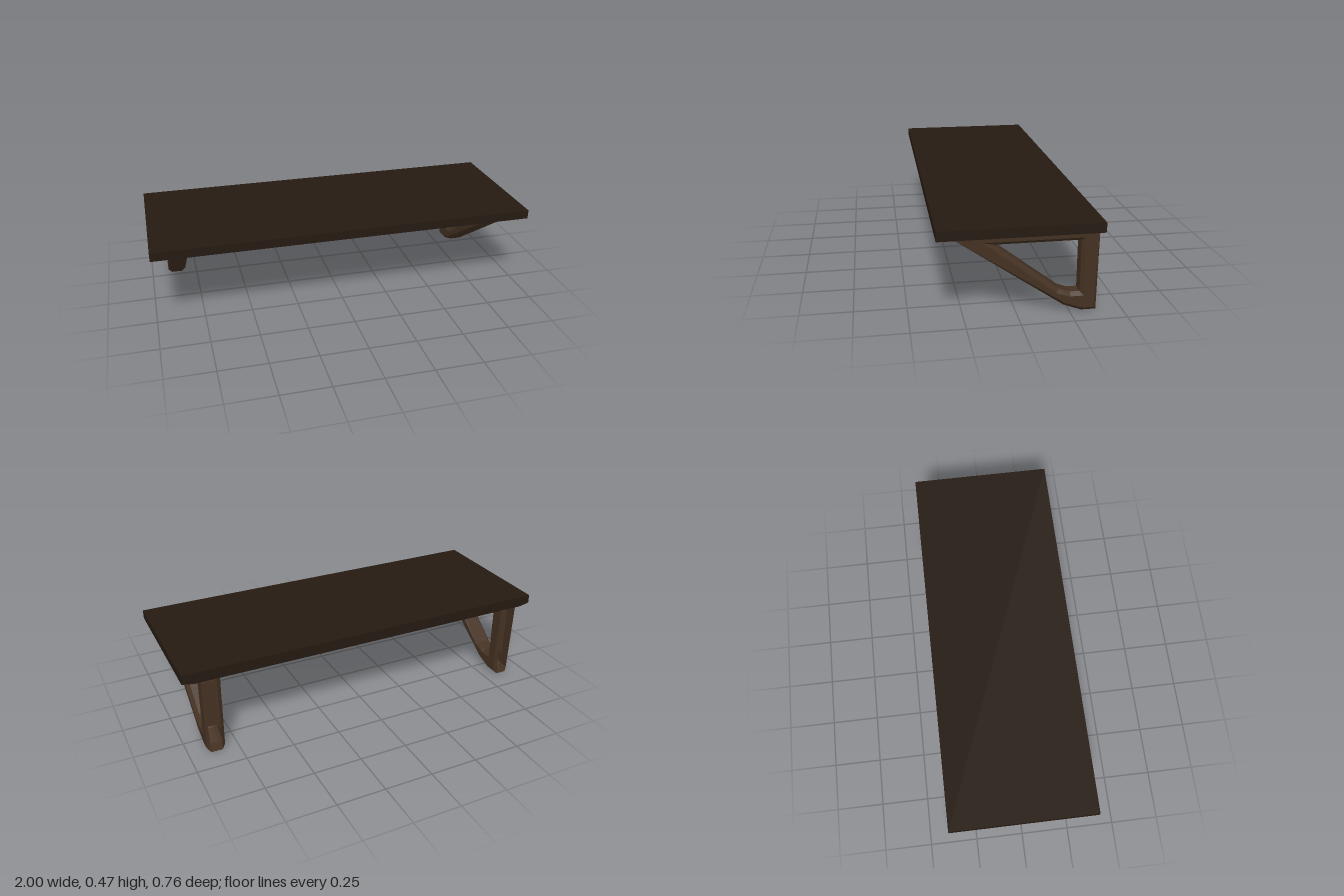
import * as THREE from 'three';

const shelfWood = new THREE.MeshStandardMaterial({ color: 0x251a12, flatShading: true, side: THREE.DoubleSide });
const bracketWood = new THREE.MeshStandardMaterial({ color: 0x443122, flatShading: true, side: THREE.DoubleSide });

// Joins successive rings of [x, y, z] points with quads
function skin(rings, closed) {
  const pos = [];
  for (let r = 0; r < rings.length - 1; r++) {
    const a = rings[r], b = rings[r + 1], n = a.length;
    for (let i = 0; i < (closed ? n : n - 1); i++) {
      const j = (i + 1) % n;
      for (const p of [a[i], b[i], b[j], a[i], b[j], a[j]]) pos.push(...p);
    }
  }
  const geo = new THREE.BufferGeometry();
  geo.setAttribute('position', new THREE.Float32BufferAttribute(pos, 3));
  geo.computeVertexNormals();
  return geo;
}

function addMesh(parent, name, geo, material) {
  const mesh = new THREE.Mesh(geo, material);
  mesh.name = name;
  parent.add(mesh);
  return mesh;
}

// Board whose underside is chamfered at the front and both ends
function makeShelf() {
  const group = new THREE.Group();
  group.name = 'shelf';
  const rect = (x, y, front, back) => [[-x, y, front], [x, y, front], [x, y, back], [-x, y, back]];
  const top = rect(1, 0.47, 0.378, -0.378);
  const low = rect(1, 0.423, 0.378, -0.378);
  const under = rect(0.94, 0.412, 0.32, -0.378);
  addMesh(group, 'shelfEdges', skin([top, low, under], true), shelfWood);
  addMesh(group, 'shelfTop', skin([[top[3], top[2]], [top[0], top[1]]], false), shelfWood);
  addMesh(group, 'shelfUnderside', skin([[under[0], under[1]], [under[3], under[2]]], false), shelfWood);
  return group;
}

// Hollow triangular bracket, open at the wall and under the shelf
function makeBracket(name) {
  const group = new THREE.Group();
  group.name = name;
  const half = 0.047, bevel = 0.018;
  // Profiles as [z, y]
  const face = [[0.32, 0.412], [-0.225, 0.048], [-0.308, 0.018], [-0.362, 0.018], [-0.378, 0.412]];
  const rim = [[0.32, 0.412], [-0.22, 0.033], [-0.308, 0], [-0.378, 0], [-0.378, 0.412]];
  const hole = [[0.16, 0.37], [-0.313, 0.37], [-0.313, 0.08], [-0.25, 0.08], [-0.185, 0.1]];
  const holeRim = [[0.11, 0.353], [-0.297, 0.353], [-0.297, 0.097], [-0.25, 0.097], [-0.197, 0.117]];
  const at = (pts, x) => pts.map(([z, y]) => [x, y, z]);
  // The outer bevel runs out to nothing at the top
  const rimAt = (s) => rim.map(([z, y], i) => [s * (i % 4 === 0 ? half : half - bevel), y, z]);

  for (const s of [1, -1]) {
    const flat = (pts) => pts.map(([z, y]) => new THREE.Vector2(-s * z, y));
    const shape = new THREE.Shape(flat(face));
    shape.holes.push(new THREE.Path(flat(hole)));
    const geo = new THREE.ShapeGeometry(shape).rotateY(s * Math.PI / 2).translate(s * half, 0, 0);
    addMesh(group, s > 0 ? 'leftFace' : 'rightFace', geo, bracketWood);

    const rings = [at(face, s * half), rimAt(s)];
    addMesh(group, s > 0 ? 'leftBevel' : 'rightBevel', skin(s > 0 ? rings : rings.reverse(), false), bracketWood);
  }
  // Slope and foot, stopping short of the open back
  addMesh(group, 'brace', skin([rimAt(1).slice(0, 4), rimAt(-1).slice(0, 4)], false), bracketWood);
  // Bevelled walls of the opening
  const inner = half - bevel;
  addMesh(group, 'opening',
    skin([at(hole, half), at(holeRim, inner), at(holeRim, -inner), at(hole, -half)], true), bracketWood);
  return group;
}

export function createModel() {
  const model = new THREE.Group();
  model.name = 'wallShelf';
  model.add(makeShelf());
  for (const s of [1, -1]) {
    const bracket = makeBracket(s > 0 ? 'leftBracket' : 'rightBracket');
    bracket.position.x = s * 0.862;
    model.add(bracket);
  }
  return model;
}
